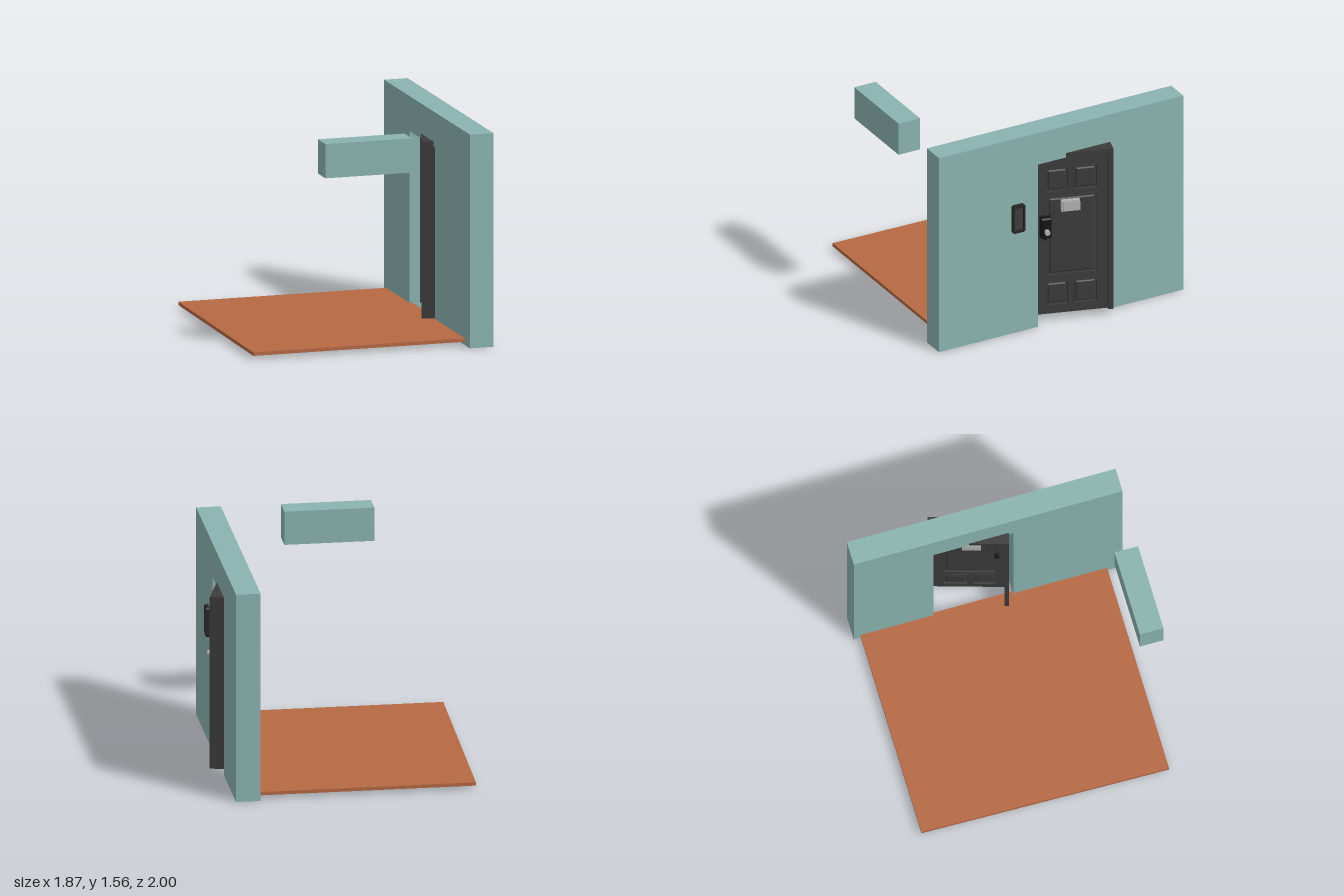
import * as THREE from 'three';

const mat = (color) => new THREE.MeshStandardMaterial({ color, flatShading: true });
const TEAL = mat(0x8ab3af), FLOOR = mat(0xb56843), DARK = mat(0x3c3c3c);
const BLACK = mat(0x161616), LIGHT = mat(0xb4b4b4);

function add(parent, name, geometry, material, x = 0, y = 0, z = 0) {
  const mesh = new THREE.Mesh(geometry, material);
  mesh.name = name;
  mesh.position.set(x, y, z);
  parent.add(mesh);
  return mesh;
}

// Box given by its minimum and maximum corners
function box(parent, name, material, [x0, y0, z0], [x1, y1, z1]) {
  return add(parent, name, new THREE.BoxGeometry(x1 - x0, y1 - y0, z1 - z0), material,
    (x0 + x1) / 2, (y0 + y1) / 2, (z0 + z1) / 2);
}

const shapeOf = (pts) => new THREE.Shape(pts.map(([x, y]) => new THREE.Vector2(x, y)));
const rect = (x0, y0, x1, y1) => [[x0, y0], [x1, y0], [x1, y1], [x0, y1]];
const extrude = (shape, depth) => new THREE.ExtrudeGeometry(shape, { depth, bevelEnabled: false });

// Slab with chamfered front edges, its back on z = 0
function chamfered(x0, y0, x1, y1, depth, c) {
  const g = new THREE.BoxGeometry(x1 - x0, y1 - y0, depth, 1, 1, 2);
  const p = g.attributes.position, hx = (x1 - x0) / 2, hy = (y1 - y0) / 2;
  for (let i = 0; i < p.count; i++) {
    const z = p.getZ(i);
    if (z > depth / 4) {
      p.setX(i, Math.sign(p.getX(i)) * (hx - c));
      p.setY(i, Math.sign(p.getY(i)) * (hy - c));
    } else if (z > -depth / 4) p.setZ(i, depth / 2 - Math.min(c, depth * 0.8));
  }
  g.translate((x0 + x1) / 2, (y0 + y1) / 2, depth / 2);
  g.computeVertexNormals();
  return g;
}

function createDoor() {
  const door = new THREE.Group();
  door.name = 'doorAndFrame';

  // Deep frame: two posts and a header
  box(door, 'latchPost', DARK, [-0.292, 0.05, -0.1], [-0.262, 1.34, 0.1]);
  box(door, 'hingePost', DARK, [0.255, 0.05, -0.1], [0.292, 1.34, 0.1]);
  box(door, 'frameHeader', DARK, [-0.262, 1.3, -0.1], [0.255, 1.34, 0.1]);

  // Leaf with panel openings
  const panels = [
    [-0.2, 1.035, -0.036, 1.22], [0.006, 1.035, 0.176, 1.22],
    [-0.19, 0.365, 0.173, 0.99],
    [-0.2, 0.125, -0.036, 0.31], [0.006, 0.125, 0.176, 0.31],
  ];
  const leaf = shapeOf(rect(-0.26, 0.058, 0.253, 1.298));
  for (const r of panels) leaf.holes.push(new THREE.Path(shapeOf(rect(...r)).getPoints()));
  add(door, 'doorLeaf', extrude(leaf, 0.05), DARK, 0, 0, 0.04);

  // Sunken cores, mouldings and raised fields on both faces
  for (const [x0, y0, x1, y1] of panels) {
    box(door, 'panelCore', DARK, [x0, y0, 0.055], [x1, y1, 0.075]);
    const m = 0.016;
    const moulding = shapeOf(rect(x0 - 0.006, y0 - 0.006, x1 + 0.006, y1 + 0.006));
    moulding.holes.push(new THREE.Path(shapeOf(rect(x0 + 0.004, y0 + 0.004, x1 - 0.004, y1 - 0.004)).getPoints()));
    add(door, 'panelMoulding', extrude(moulding, 0.06), DARK, 0, 0, 0.035);
    add(door, 'raisedPanelOuter', chamfered(x0 + m, y0 + m, x1 - m, y1 - m, 0.013, 0.008), DARK, 0, 0, 0.075);
    const back = add(door, 'raisedPanelInner', chamfered(-x1 + m, y0 + m, -x0 - m, y1 - m, 0.013, 0.008), DARK, 0, 0, 0.055);
    back.rotation.y = Math.PI;
  }

  // Letter slot box passing through the leaf
  box(door, 'letterSlot', LIGHT, [-0.09, 0.88, 0.015], [0.045, 0.965, 0.118]);
  box(door, 'letterSlotFlap', LIGHT, [-0.075, 0.885, 0.118], [0.045, 0.957, 0.125]);

  // Lock with knob and key
  add(door, 'lockBody', chamfered(-0.245, 0.69, -0.17, 0.85, 0.06, 0.01), BLACK, 0, 0, 0.088);
  const knob = (name, r, len, y, z, material) =>
    add(door, name, new THREE.CylinderGeometry(r, r, len, 16).rotateX(Math.PI / 2), material, -0.207, y, z);
  knob('knobCollar', 0.028, 0.015, 0.755, 0.153, BLACK);
  knob('knob', 0.019, 0.035, 0.755, 0.173, LIGHT);
  knob('keyhole', 0.012, 0.015, 0.665, 0.095, BLACK);
  knob('innerKnob', 0.018, 0.03, 0.755, 0.025, BLACK);

  // Swung out of line with the wall
  door.position.set(0.75, 0, -0.12);
  door.rotation.y = 1.276;
  return door;
}

export function createModel() {
  const model = new THREE.Group();
  model.name = 'roomCornerWithDoor';

  // Wall with doorway notch, drawn along -z
  const wall = shapeOf([[-1, 0], [-0.19, 0], [-0.19, 1.305], [0.405, 1.305],
    [0.405, 0], [1, 0], [1, 1.56], [-1, 1.56]]);
  add(model, 'wall', extrude(wall, 0.178).rotateY(Math.PI / 2), TEAL, 0.652);

  // Floor slab, slightly out of square
  const floor = shapeOf([[-0.937, -0.885], [0.67, -0.885], [0.67, 0.95], [-0.908, 0.95]]);
  add(model, 'floor', extrude(floor, 0.025).rotateX(-Math.PI / 2), FLOOR, 0, 0.025);

  // Separate beam over the front edge
  box(model, 'beam', TEAL, [-0.43, 1.31, 0.815], [0.22, 1.56, 0.99]);

  model.add(createDoor());

  // Entry panel on the outer wall: rim around a recessed plate
  const entry = new THREE.Group();
  entry.name = 'entryPanel';
  const rim = shapeOf([[-0.05, -0.1], [-0.04, -0.11], [0.04, -0.11], [0.05, -0.1],
    [0.05, 0.1], [0.04, 0.11], [-0.04, 0.11], [-0.05, 0.1]]);
  rim.holes.push(new THREE.Path(shapeOf(rect(-0.037, -0.088, 0.037, 0.088)).getPoints()));
  add(entry, 'entryRim', extrude(rim, 0.027), mat(0x262626));
  box(entry, 'entryPlate', DARK, [-0.038, -0.09, 0], [0.038, 0.09, 0.016]);
  entry.position.set(0.83, 0.92, 0.358);
  entry.rotation.y = Math.PI / 2;
  model.add(entry);

  return model;
}
